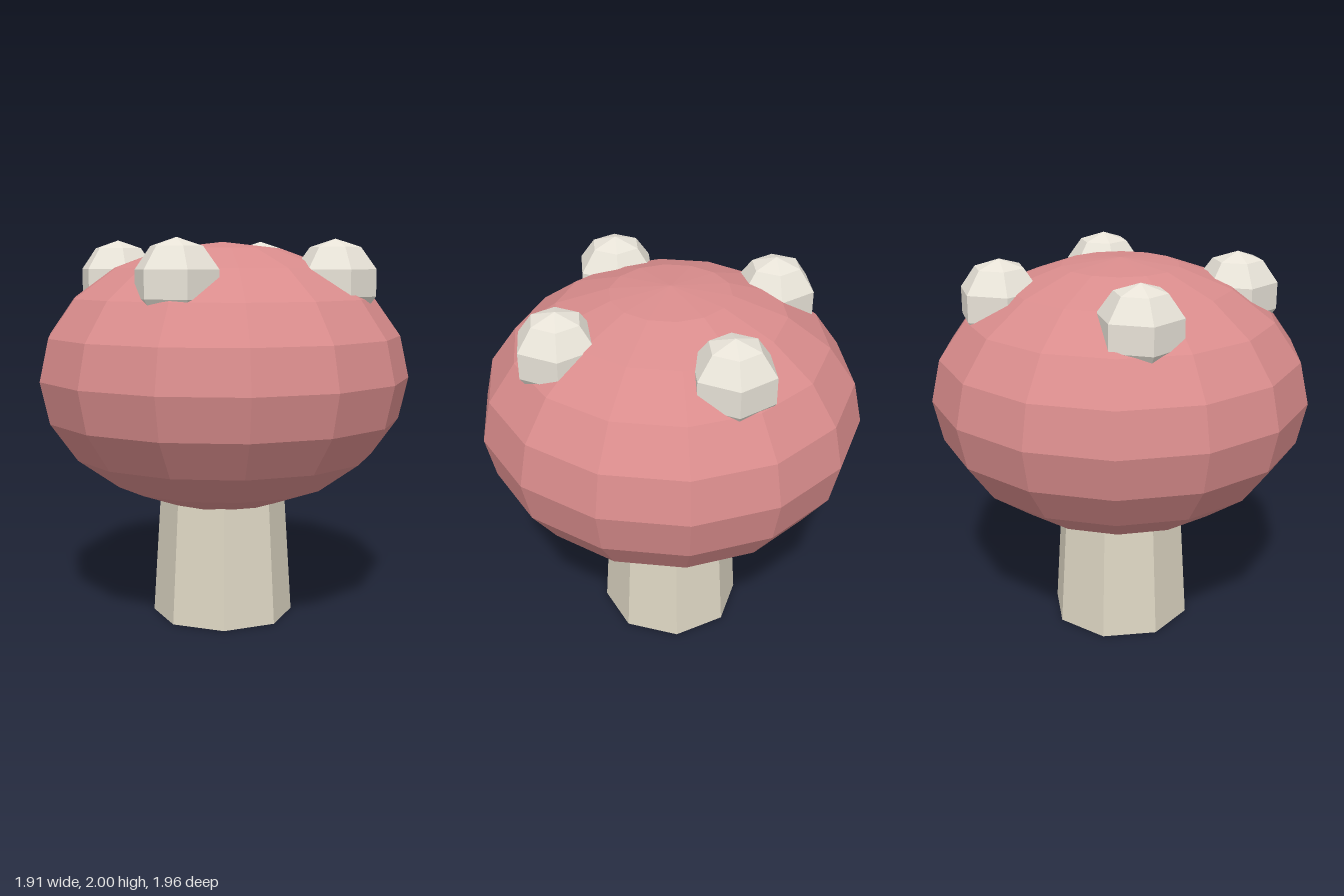
import * as THREE from 'three';

const material = (color) => new THREE.MeshStandardMaterial({ color, flatShading: true });

export function createModel() {
  const group = new THREE.Group();
  const add = (name, geometry, mat, x, y, z) => {
    const mesh = new THREE.Mesh(geometry, mat);
    mesh.name = name;
    mesh.position.set(x, y, z);
    group.add(mesh);
    return mesh;
  };

  // Tapered eight-sided stem, running up into the cap
  const stemHeight = 1.1;
  add('stem', new THREE.CylinderGeometry(0.305, 0.375, stemHeight, 8), material(0xddd6c3), 0, stemHeight / 2, 0);

  // Flattened low-poly cap, with corners on the z axis
  const capGeometry = new THREE.SphereGeometry(0.978, 14, 10).rotateY(Math.PI / 2).scale(1, 0.716, 1);
  add('cap', capGeometry, material(0xd98c8c), 0, 1.288, 0);

  // Four faceted spots, evenly spaced around the top of the cap
  const spotGeometry = new THREE.SphereGeometry(0.22, 6, 5).rotateY(Math.PI / 2);
  const spotMaterial = material(0xe8e3d8);
  for (let i = 0; i < 4; i++) {
    const angle = 0.4 + (i * Math.PI) / 2;
    add(`spot${i + 1}`, spotGeometry, spotMaterial, 0.607 * Math.cos(angle), 1.78, -0.607 * Math.sin(angle));
  }

  return group;
}
